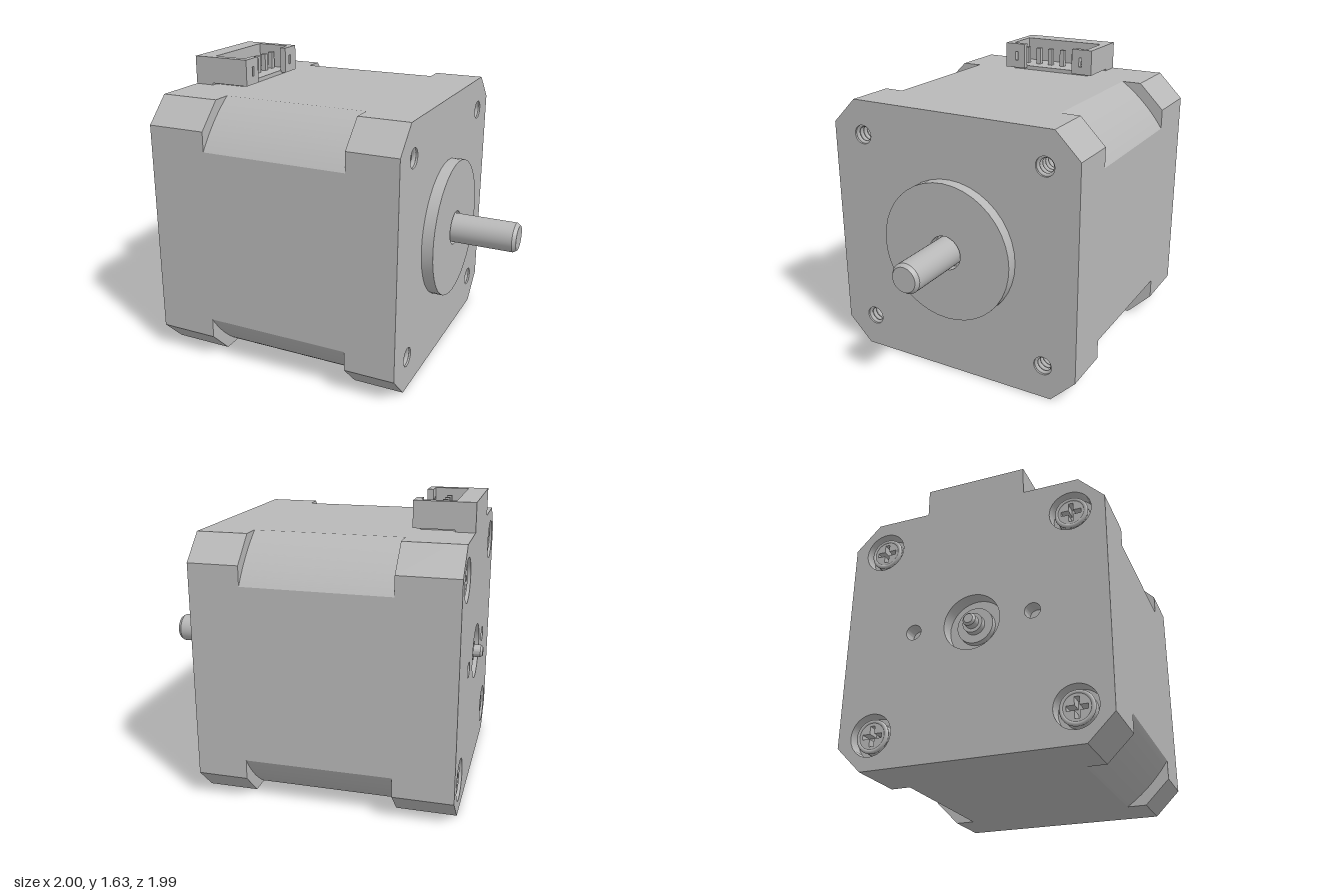
import * as THREE from 'three';
import { toCreasedNormals } from 'three/addons/utils/BufferGeometryUtils.js';

const HALF = 0.737;      // half width of the square body
const CHAMFER = 0.14;
const BACK = -0.71, FRONT = 0.71;
const CORNERS = [[1, 1], [-1, 1], [-1, -1], [1, -1]];
const BOLT = 0.548;      // offset of the corner holes

export function createModel() {
  const metal = new THREE.MeshStandardMaterial({ color: 0xb8b8b8 });
  metal.name = 'grey metal';

  const model = new THREE.Group();
  model.name = 'stepperMotor';
  const motor = new THREE.Group(); // local +z is the shaft axis
  motor.name = 'motor';
  motor.position.set(-0.0175, HALF, 0);
  motor.rotation.y = Math.PI / 3;
  model.add(motor);

  const add = (name, geometry, x = 0, y = 0, z = 0) => {
    const mesh = new THREE.Mesh(geometry, metal);
    mesh.name = name;
    mesh.position.set(x, y, z);
    motor.add(mesh);
    return mesh;
  };
  const box = (name, x0, x1, y0, y1, z0, z1) =>
    add(name, new THREE.BoxGeometry(x1 - x0, y1 - y0, z1 - z0),
      (x0 + x1) / 2, (y0 + y1) / 2, (z0 + z1) / 2);
  const slab = (name, shape, z0, z1) => add(name, toCreasedNormals(
    new THREE.ExtrudeGeometry(shape, { depth: z1 - z0, bevelEnabled: false, curveSegments: 20 }), 0.5), 0, 0, z0);
  // Turned part: profile of [radius, z], listed from back to front
  const turned = (name, points, x = 0, y = 0) => {
    const g = new THREE.LatheGeometry(points.map(([r, z]) => new THREE.Vector2(r, z)), 40);
    g.rotateX(Math.PI / 2);
    return add(name, toCreasedNormals(g, 0.5), x, y, 0);
  };

  // Chamfered square with optional round holes [x, y, radius]
  const octagon = (holes = []) => {
    const a = HALF, b = HALF - CHAMFER;
    const s = new THREE.Shape([[a, -b], [a, b], [b, a], [-b, a], [-a, b], [-a, -b], [-b, -a], [b, -a]]
      .map(([x, y]) => new THREE.Vector2(x, y)));
    for (const [x, y, r] of holes) {
      const p = new THREE.Path();
      p.absarc(x, y, r, 0, Math.PI * 2, true);
      s.holes.push(p);
    }
    return s;
  };

  // Middle stack: square with corners rounded about the shaft axis
  const stack = new THREE.Shape();
  const angle = Math.atan2(0.488, HALF), radius = Math.hypot(0.488, HALF);
  for (let i = 0; i < 4; i++) {
    const t = i * Math.PI / 2;
    stack.absarc(0, 0, radius, t + angle, t + Math.PI / 2 - angle, false);
  }
  stack.closePath();
  slab('statorStack', stack, -0.38, 0.43);

  // End caps, each a solid block and a drilled plate
  slab('frontCapCore', octagon(), 0.43, 0.54);
  slab('frontCap', octagon(CORNERS.map(([x, y]) => [x * BOLT, y * BOLT, 0.052])), 0.54, FRONT);
  slab('rearCapCore', octagon(), -0.63, -0.38);
  slab('rearCap', octagon([
    ...CORNERS.map(([x, y]) => [x * BOLT, y * BOLT, 0.115]),
    [0, 0, 0.157], [0.335, 0, 0.043], [-0.335, 0, 0.043],
  ]), BACK, -0.63);

  for (const [x, y] of CORNERS) {
    // Threads in the front mounting holes
    for (let i = 0; i < 5; i++)
      add('thread', new THREE.TorusGeometry(0.05, 0.012, 6, 24), x * BOLT, y * BOLT, 0.57 + i * 0.03);
    // Rear screw: rounded head with a cross recess
    const slot = new THREE.Shape(), w = 0.013, l = 0.055;
    slot.absarc(0, 0, 0.088, 0, Math.PI * 2, false);
    slot.holes.push(new THREE.Path([[w, w], [w, l], [-w, l], [-w, w], [-l, w], [-l, -w],
      [-w, -w], [-w, -l], [w, -l], [w, -w], [l, -w], [l, w]].map(([a, b]) => new THREE.Vector2(a, b))));
    const head = slab('screwHead', slot, -0.695, -0.63);
    head.position.x = x * BOLT;
    head.position.y = y * BOLT;
    add('screwRim', new THREE.TorusGeometry(0.08, 0.012, 8, 32), x * BOLT, y * BOLT, -0.687);
  }

  // Front pilot boss with a bore around the shaft
  turned('pilotBoss', [[0.385, 0.70], [0.385, 0.773], [0.095, 0.773], [0.095, 0.72], [0, 0.72]]);
  // Output shaft with a chamfered tip
  turned('shaft', [[0.082, 0.70], [0.082, 1.11], [0.068, 1.13], [0, 1.13]]);
  // Rear bearing seat and shaft stub
  turned('rearBearing', [[0, -0.665], [0.1, -0.665], [0.1, -0.62]]);
  turned('rearShaft', [[0, -0.752], [0.025, -0.752], [0.036, -0.74], [0.036, -0.70], [0.055, -0.70], [0.055, -0.66]]);

  // Plug housing on top, flush with the rear face
  const top = 1.632 - HALF, base = 1.485 - HALF;
  box('plugBackWall', -0.287, 0.287, 0.72, top, BACK, -0.602);
  box('plugFloor', -0.25, 0.25, 0.73, base + 0.012, -0.602, -0.41);
  for (const s of [-1, 1]) {
    const lo = Math.min(s * 0.245, s * 0.287), hi = Math.max(s * 0.245, s * 0.287);
    box('plugSideWall', lo, hi, base, top, -0.602, -0.413);
    // Front lip with a small slot
    const lip = new THREE.Shape([[0.16, base], [0.287, base], [0.287, top], [0.16, top]]
      .map(([x, y]) => new THREE.Vector2(s * x, y)));
    lip.holes.push(new THREE.Path([[0.206, 0.793], [0.206, 0.847], [0.224, 0.847], [0.224, 0.793]]
      .map(([x, y]) => new THREE.Vector2(s * x, y))));
    slab('plugLip', lip, -0.413, -0.378);
  }
  for (let i = 0; i < 6; i++) {
    const x = (i - 2.5) * 0.081;
    box('plugPin', x - 0.014, x + 0.014, 0.74, 1.595 - HALF, -0.515, -0.487);
  }
  return model;
}
